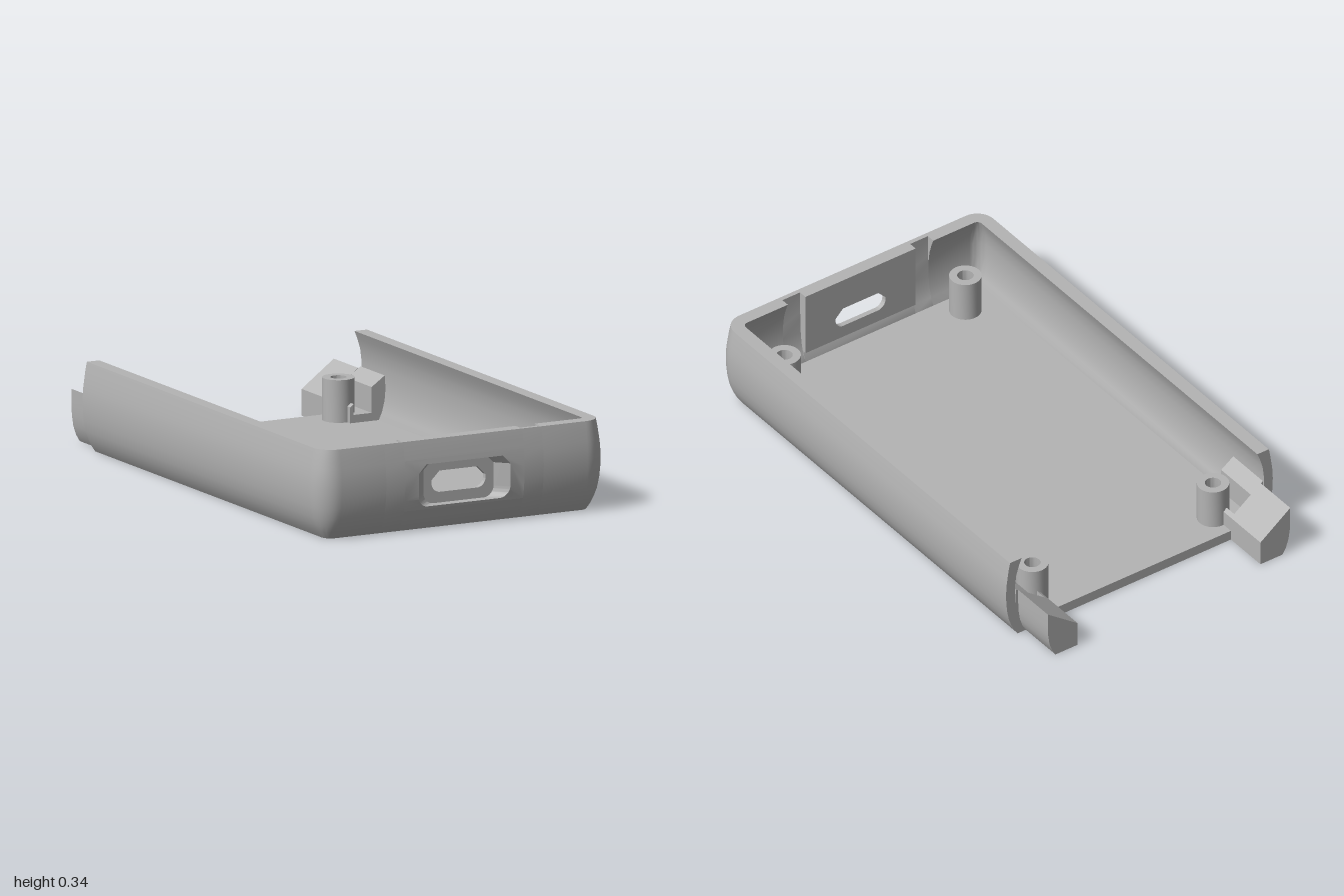
import * as THREE from 'three';
import { toCreasedNormals } from 'three/addons/utils/BufferGeometryUtils.js';

const W = 0.605, FRONT = 1, BACK = -0.815, R = 0.09, FLOOR = 0.04, TOP = 0.34;

// wall section as [inset from the widest outline, height]
const OUTER = [[0.053, 0], [0.036, 0.025], [0.024, 0.05], [0.013, 0.08], [0.005, 0.12], [0.001, 0.16],
  [0, 0.2], [0.002, 0.24], [0.006, 0.27], [0.012, 0.31], [0.018, TOP]];
const INNER = [[0.07, TOP], [0.058, 0.31], [0.046, 0.27], [0.04, 0.22], [0.04, 0.16], [0.046, 0.11],
  [0.056, 0.07], [0.07, FLOOR], [0.07, 0]];
const NOTCH = [[0.036, TOP], [0.036, 0.25], [0.04, 0.22], ...INNER.slice(4)];
const LOW = 0.08, HIGH = 0.27, PANEL = 0.25, NOTCH_END = 0.33;

// inset of the outer skin at a height
function inset(y) {
  for (let i = 1; i < OUTER.length; i++) {
    const [d0, y0] = OUTER[i - 1], [d1, y1] = OUTER[i];
    if (y <= y1) return d0 + (d1 - d0) * (y - y0) / (y1 - y0);
  }
  return OUTER.at(-1)[0];
}

// sweep a closed section along path points {x, z, nx, nz}, with end caps
function sweep(path, section) {
  const n = section.length, pos = [], idx = [];
  for (const p of path)
    for (const [d, y] of section) pos.push(p.x - p.nx * d, y, p.z - p.nz * d);
  for (let i = 0; i < path.length - 1; i++) {
    for (let j = 0; j < n; j++) {
      const k = (j + 1) % n, a = i * n + j, b = a + n, c = (i + 1) * n + k, d = i * n + k;
      idx.push(a, b, c, a, c, d);
    }
  }
  const last = (path.length - 1) * n;
  const caps = THREE.ShapeUtils.triangulateShape(section.map(([d, y]) => new THREE.Vector2(-d, y)), []);
  for (const [a, b, c] of caps) idx.push(a, b, c, last + a, last + c, last + b);
  const g = new THREE.BufferGeometry();
  g.setAttribute('position', new THREE.Float32BufferAttribute(pos, 3));
  g.setIndex(idx);
  return g;
}

const mirrorPath = path => path.map(p => ({ ...p, x: -p.x, nx: -p.nx })).reverse();
const frontPath = (x0, x1) => [x0, x1].map(x => ({ x, z: FRONT, nx: 0, nz: 1 }));

// slot outline: chamfered on top, rounded below
function slot(w, y0, y1, chamfer, r) {
  const s = new THREE.Path();
  s.moveTo(-w + r, y0);
  s.lineTo(w - r, y0);
  s.absarc(w - r, y0 + r, r, -Math.PI / 2, 0, false);
  s.lineTo(w, y1 - chamfer);
  s.lineTo(w - chamfer, y1);
  s.lineTo(-w + chamfer, y1);
  s.lineTo(-w, y1 - chamfer);
  s.lineTo(-w, y0 + r);
  s.absarc(-w + r, y0 + r, r, Math.PI, Math.PI * 1.5, false);
  return s;
}

function extrude(shape, depth, z) {
  return new THREE.ExtrudeGeometry(shape, { depth, bevelEnabled: false, curveSegments: 10 }).translate(0, 0, z);
}

function polygon(points) {
  return new THREE.Shape(points.map(([x, y]) => new THREE.Vector2(x, y)));
}

export function createModel() {
  const model = new THREE.Group();
  model.name = 'enclosureTray';
  const plastic = new THREE.MeshStandardMaterial({ color: 0xb4b4b4 });
  plastic.name = 'greyPlastic';
  const add = (name, geometry) => {
    const mesh = new THREE.Mesh(toCreasedNormals(geometry, 0.5), plastic);
    mesh.name = name;
    model.add(mesh);
    return mesh;
  };

  // side walls, each with its rounded front corner
  const side = [{ x: NOTCH_END, z: FRONT, nx: 0, nz: 1 }];
  for (let i = 0; i <= 10; i++) {
    const a = i / 10 * Math.PI / 2, nx = Math.sin(a), nz = Math.cos(a);
    side.push({ x: W - R + nx * R, z: FRONT - R + nz * R, nx, nz });
  }
  side.push({ x: W, z: BACK, nx: 1, nz: 0 });
  const wall = [...OUTER, ...INNER], notched = [...OUTER, ...NOTCH];
  add('leftWall', sweep(side, wall));
  add('rightWall', sweep(mirrorPath(side), wall));

  // snap notches in the front wall
  const notchPath = frontPath(PANEL, NOTCH_END);
  add('leftSnapNotch', sweep(notchPath, notched));
  add('rightSnapNotch', sweep(mirrorPath(notchPath), notched));

  // front wall above and below the port
  const centre = frontPath(-PANEL, PANEL);
  add('frontWallLower', sweep(centre, [...OUTER.filter(p => p[1] <= LOW), [0.055, LOW], [0.07, FLOOR], [0.07, 0]]));
  add('frontWallUpper', sweep(centre, [...OUTER.filter(p => p[1] >= HIGH), [0.07, TOP], [0.07, HIGH]]));

  // port panel: a plate with the opening, and a frame with the tapered recess
  const edge = OUTER.map(p => p[1]).filter(y => y >= LOW && y <= HIGH);
  const panel = () => polygon([...edge.map(y => [PANEL, y]), ...edge.toReversed().map(y => [-PANEL, y])]);
  const plate = panel();
  plate.holes.push(slot(0.113, 0.13, 0.21, 0.033, 0.035));
  add('portPlate', extrude(plate, 0.02, 0.93));
  const frame = panel();
  frame.holes.push(slot(0.192, 0.09, 0.25, 0.032, 0.042));
  const frameGeo = extrude(frame, 0.05, 0.95);
  const p = frameGeo.attributes.position;
  for (let i = 0; i < p.count; i++) {
    const x = p.getX(i);
    if (p.getZ(i) > 0.97) p.setZ(i, FRONT - inset(p.getY(i)));
    else if (Math.abs(x) < 0.2) p.setX(i, x - Math.sign(x) * 0.045);
  }
  add('portRecess', frameGeo);

  // floor with screw holes
  const d = 0.07, r = R - d, w = W - d, f = FRONT - d;
  const floor = new THREE.Shape();
  floor.moveTo(-w, BACK);
  floor.lineTo(w, BACK);
  floor.lineTo(w, f - r);
  floor.absarc(w - r, f - r, r, 0, Math.PI / 2, false);
  floor.lineTo(-w + r, f);
  floor.absarc(-w + r, f - r, r, Math.PI / 2, Math.PI, false);
  const posts = [-0.41, 0.41].flatMap(x => [-0.71, 0.84].map(z => [x, z]));
  for (const [x, z] of posts) {
    const hole = new THREE.Path();
    hole.absarc(x, z, 0.047, 0, Math.PI * 2, true);
    floor.holes.push(hole);
  }
  add('floor', extrude(floor, FLOOR, 0).rotateX(Math.PI / 2).translate(0, FLOOR, 0));

  // hollow screw posts, countersunk underneath
  const postProfile = [[0.06, 0.03], [0.06, 0.2], [0.03, 0.2], [0.03, 0.04], [0.047, 0]]
    .map(([x, y]) => new THREE.Vector2(x, y));
  for (const [x, z] of posts)
    add('screwPost', new THREE.LatheGeometry(postProfile, 32)).position.set(x, 0, z);

  // rear clips: sloped tab behind the tray, grooved root inside it
  const tab = [[0.415, 0], [0.515, 0], [0.53, 0.025], [0.542, 0.06], [0.548, 0.1], [0.55, 0.14], [0.55, 0.2], [0.415, 0.1]];
  const root = [[0.415, 0.03], [0.538, 0.03], [0.56, 0.1], [0.563, 0.16], [0.56, 0.205], [0.505, 0.167],
    [0.505, 0.07], [0.43, 0.07], [0.43, 0.111], [0.415, 0.1]];
  for (const s of [1, -1]) {
    const flip = pts => polygon(pts.map(([x, y]) => [x * s, y]));
    const label = s > 0 ? 'left' : 'right';
    add(label + 'ClipTab', extrude(flip(tab), 0.185, -1));
    add(label + 'ClipRoot', extrude(flip(root), 0.185, BACK));
  }
  return model;
}
